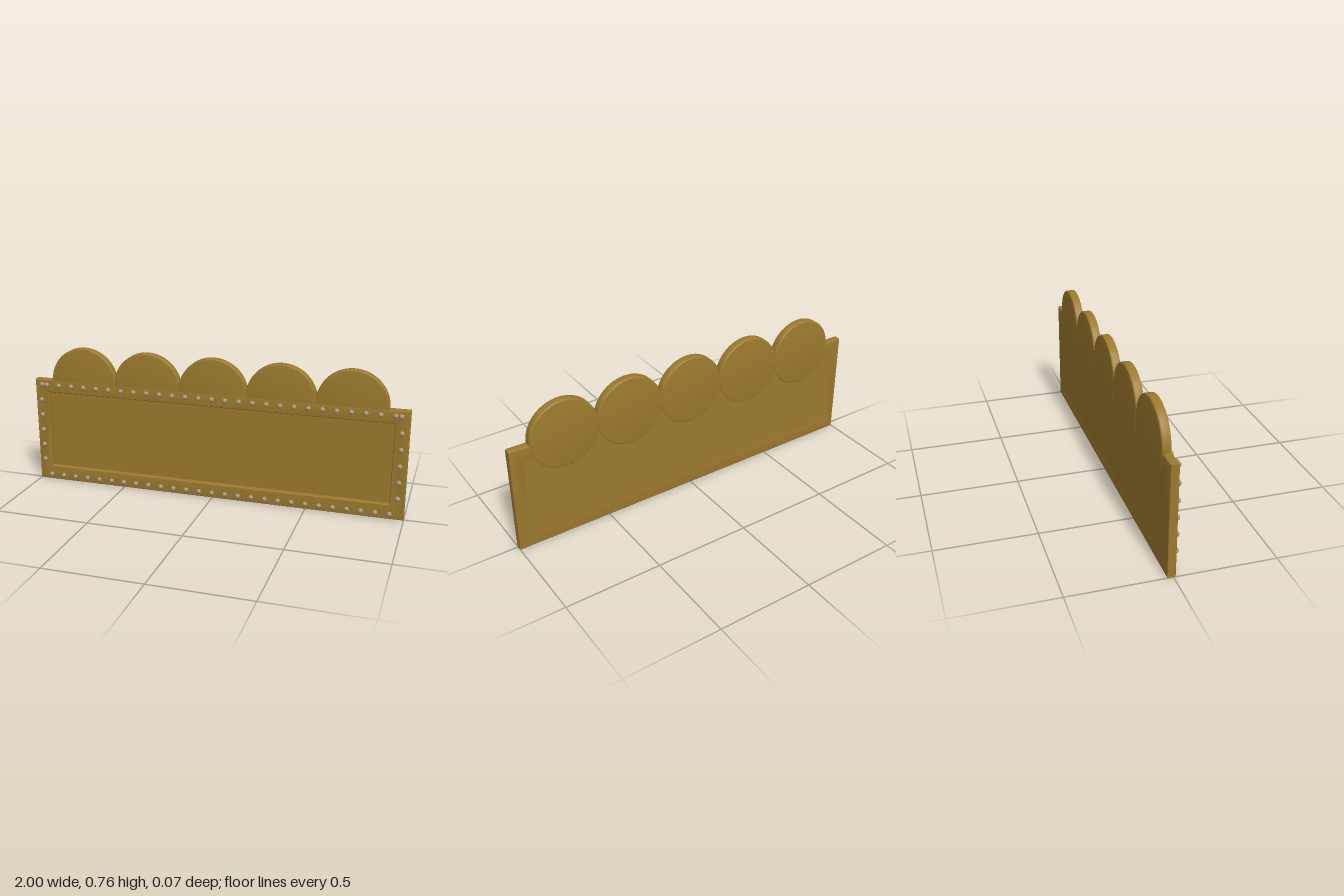
import * as THREE from 'three';
import { toCreasedNormals } from 'three/addons/utils/BufferGeometryUtils.js';

const BACK = -0.03, FRONT = 0.012, BEVEL = 0.006;
const gold = new THREE.MeshStandardMaterial({ color: 0x9c7a2e });
const studMetal = new THREE.MeshStandardMaterial({ color: 0xa89878 });

// Trace a rectangle on a shape or hole path
function rect(path, x0, y0, x1, y1) {
  path.moveTo(x0, y0);
  path.lineTo(x1, y0);
  path.lineTo(x1, y1);
  path.lineTo(x0, y1);
  path.closePath();
  return path;
}

// Extrude with softened edges, kept inside the drawn outline, from z0 to z1
function slab(shape, z0, z1, bevel) {
  const geo = new THREE.ExtrudeGeometry(shape, {
    depth: z1 - z0 - 2 * bevel, curveSegments: 32,
    bevelEnabled: true, bevelSize: bevel, bevelThickness: bevel, bevelOffset: -bevel, bevelSegments: 3,
  });
  geo.translate(0, 0, z0 + bevel);
  return toCreasedNormals(geo, 0.7);
}

function add(parent, name, geo, material, x = 0, y = 0, z = 0) {
  const mesh = new THREE.Mesh(geo, material);
  mesh.name = name;
  mesh.position.set(x, y, z);
  parent.add(mesh);
  return mesh;
}

export function createModel() {
  const model = new THREE.Group();
  model.name = 'scallopedSignBoard';

  // Rectangular border with a recessed field
  const border = rect(new THREE.Shape(), -1, 0, 1, 0.572);
  border.holes.push(rect(new THREE.Path(), -0.926, 0.078, 0.926, 0.502));
  add(model, 'borderFrame', slab(border, BACK, FRONT, BEVEL), gold);
  add(model, 'recessedPanel', new THREE.BoxGeometry(1.864, 0.436, 0.018), gold, 0, 0.29, BACK + 0.009);

  // Row of round scallops along the top, each with a low disc on the back
  const scallops = new THREE.Group();
  scallops.name = 'scallops';
  model.add(scallops);
  const r = 0.183, cy = 0.573, drop = Math.asin(0.062 / r);
  const lobe = new THREE.Shape();
  lobe.absarc(0, 0, r, -drop, Math.PI + drop, false);
  lobe.closePath();
  const lobeGeo = slab(lobe, BACK - 0.001, FRONT - 0.0008, BEVEL);
  const disc = new THREE.Shape();
  disc.absarc(0, 0, r - 0.002, 0, Math.PI * 2, false);
  const discGeo = slab(disc, BACK - 0.003, BACK + 0.012, 0.004);
  for (let i = -2; i <= 2; i++) {
    add(scallops, 'scallop', lobeGeo, gold, i * 0.357, cy, 0);
    add(scallops, 'scallopBackDisc', discGeo, gold, i * 0.357, cy, 0);
  }

  // Small faceted studs around the border
  const studs = new THREE.Group();
  studs.name = 'studs';
  model.add(studs);
  const studGeo = new THREE.SphereGeometry(0.0135, 8, 6);
  const stud = (x, y) => add(studs, 'stud', studGeo, studMetal, x, y, 0.02);
  for (let i = 0; i < 27; i++) {
    const x = -0.93 + i * 0.0715;
    stud(x, 0.545);
    stud(x, 0.03);
  }
  for (const side of [-1, 1]) {
    for (let i = 0; i < 5; i++) stud(side * 0.965, 0.116 + i * 0.0858);
    stud(side * 0.957, 0.545);
  }

  return model;
}
